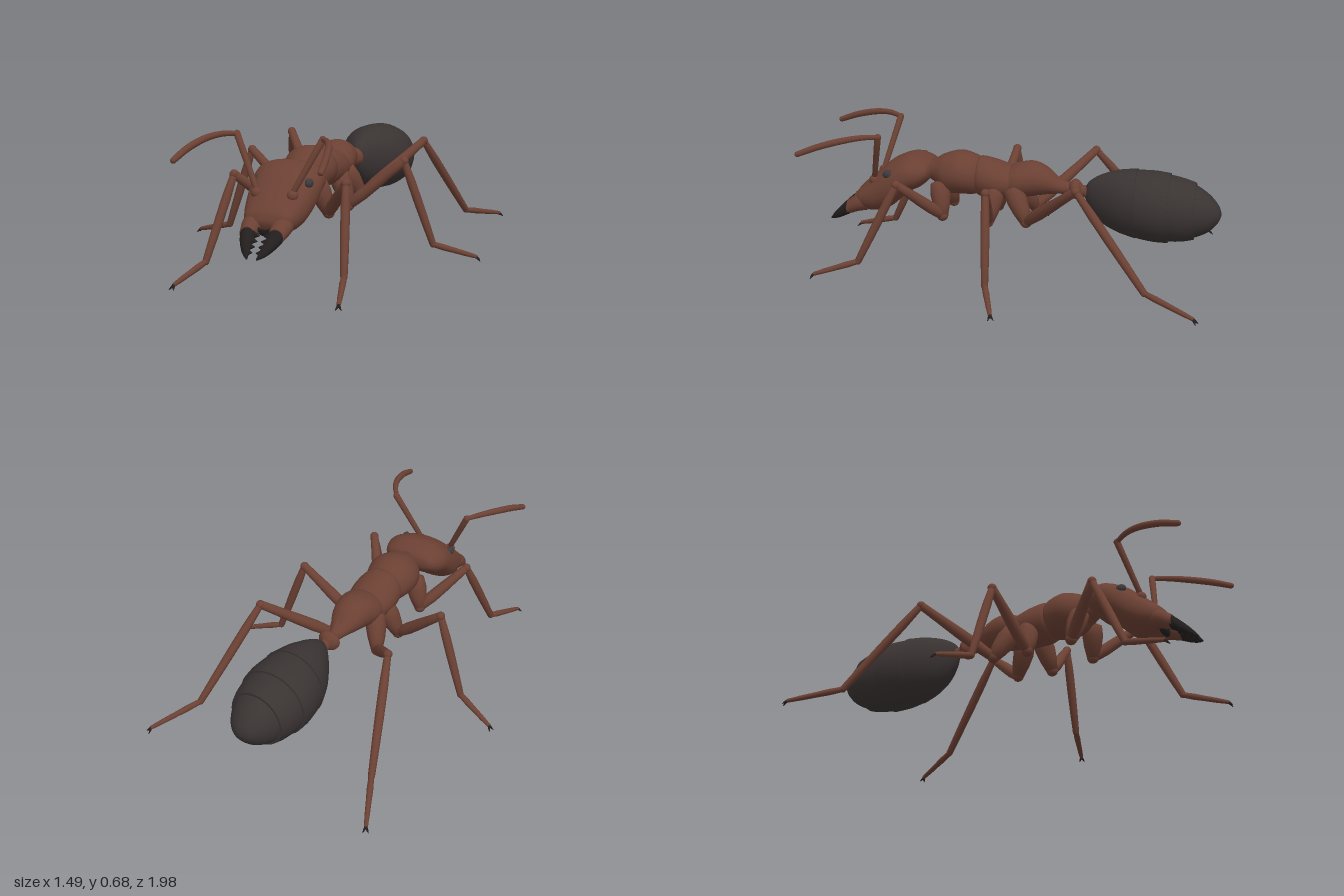
import * as THREE from 'three';
import { toCreasedNormals } from 'three/addons/utils/BufferGeometryUtils.js';

const mat = (name, color) => Object.assign(new THREE.MeshStandardMaterial({ color }), { name });
const V = (x, y, z) => new THREE.Vector3(x, y, z);

// Smooth loft along +z through sections [z, centreY, halfWidth, halfHeight, centreX]
function loft(sections, power = 2, sides = 32, steps = 5) {
  const curve = (pts) => new THREE.CatmullRomCurve3(pts, false, 'catmullrom', 0.5);
  const centres = curve(sections.map((s) => V(s[4] || 0, s[1], s[0])));
  const sizes = curve(sections.map((s) => V(s[2], s[3], 0)));
  const rings = (sections.length - 1) * steps;
  const pos = [], idx = [];
  const bend = (v) => Math.sign(v) * Math.abs(v) ** (2 / power);
  for (let i = 0; i <= rings; i++) {
    const c = centres.getPoint(i / rings), r = sizes.getPoint(i / rings);
    for (let j = 0; j < sides; j++) {
      const a = (j / sides) * Math.PI * 2;
      pos.push(c.x + bend(Math.cos(a)) * r.x, c.y + bend(Math.sin(a)) * r.y, c.z);
    }
  }
  for (let i = 0; i < rings; i++) {
    for (let j = 0; j < sides; j++) {
      const k = (j + 1) % sides;
      const a = i * sides + j, b = i * sides + k, c = a + sides, d = b + sides;
      idx.push(a, b, c, b, d, c);
    }
  }
  // end caps
  const first = centres.getPoint(0), last = centres.getPoint(1);
  const n = pos.length / 3;
  pos.push(first.x, first.y, first.z, last.x, last.y, last.z);
  for (let j = 0; j < sides; j++) {
    const k = (j + 1) % sides;
    idx.push(n, k, j, n + 1, rings * sides + j, rings * sides + k);
  }
  const g = new THREE.BufferGeometry();
  g.setAttribute('position', new THREE.Float32BufferAttribute(pos, 3));
  g.setIndex(idx);
  return toCreasedNormals(g, 0.9);
}

// Turned limb from a to b; radii are spread evenly along its length
function limb(a, b, radii) {
  const len = a.distanceTo(b);
  const profile = radii.map((r, i) => new THREE.Vector2(r, (i / (radii.length - 1)) * len));
  profile.unshift(new THREE.Vector2(0, -radii[0] * 0.4));
  profile.push(new THREE.Vector2(0, len + radii[radii.length - 1] * 0.4));
  const g = new THREE.LatheGeometry(profile, 14);
  const q = new THREE.Quaternion().setFromUnitVectors(V(0, 1, 0), b.clone().sub(a).normalize());
  return g.applyQuaternion(q).translate(a.x, a.y, a.z);
}

// Tube whose radius follows a rule along its length
function taperedTube(path, rule, steps = 24, sides = 12) {
  const g = new THREE.TubeGeometry(path, steps, 1, sides, false);
  const p = g.attributes.position, v = V(0, 0, 0);
  for (let i = 0; i < p.count; i++) {
    const t = Math.floor(i / (sides + 1)) / steps;
    const c = path.getPointAt(t);
    v.fromBufferAttribute(p, i).sub(c).multiplyScalar(rule(t)).add(c);
    p.setXYZ(i, v.x, v.y, v.z);
  }
  g.computeVertexNormals();
  return g;
}

const ball = (c, rx, ry = rx, rz = rx) =>
  new THREE.SphereGeometry(1, 20, 14).scale(rx, ry, rz).translate(c.x, c.y, c.z);

export function createModel() {
  const root = new THREE.Group();
  root.name = 'ant';
  const brown = mat('chestnut brown', 0x6b4033);
  const dark = mat('abdomen charcoal', 0x393332);
  const black = mat('jaw and claw black', 0x221e1e);
  const grey = mat('eye grey', 0x3c3a3c);
  const add = (name, geometry, material, parent = root) => {
    const m = new THREE.Mesh(geometry, material);
    m.name = name;
    parent.add(m);
    return m;
  };

  // Head and thorax
  add('head', loft([
    [0.398, 0.465, 0.06, 0.02], [0.415, 0.465, 0.125, 0.045], [0.46, 0.455, 0.155, 0.075],
    [0.52, 0.443, 0.166, 0.092], [0.6, 0.39, 0.158, 0.113], [0.67, 0.347, 0.144, 0.1],
    [0.73, 0.322, 0.125, 0.072], [0.77, 0.315, 0.1, 0.042], [0.785, 0.312, 0.05, 0.012],
  ], 2.3), brown);
  add('frontThorax', loft([
    [0.17, 0.445, 0.092, 0.083], [0.2, 0.447, 0.112, 0.097], [0.27, 0.455, 0.127, 0.105],
    [0.34, 0.448, 0.108, 0.095], [0.39, 0.457, 0.07, 0.06], [0.43, 0.46, 0.05, 0.04],
  ]), brown);
  add('middleThorax', loft([
    [0, 0.425, 0.09, 0.07], [0.03, 0.42, 0.107, 0.082], [0.1, 0.43, 0.117, 0.094],
    [0.165, 0.44, 0.108, 0.097], [0.185, 0.44, 0.095, 0.085],
  ]), brown);
  add('rearThorax', loft([
    [-0.25, 0.4, 0.028, 0.03], [-0.215, 0.41, 0.045, 0.038], [-0.155, 0.433, 0.076, 0.066],
    [-0.09, 0.44, 0.095, 0.085], [-0.02, 0.43, 0.106, 0.085], [0.03, 0.422, 0.096, 0.074],
  ]), brown);

  // Waist
  add('waist', loft([[-0.37, 0.385, 0.026, 0.028], [-0.3, 0.395, 0.026, 0.03], [-0.22, 0.405, 0.032, 0.032]]), brown);
  add('waistNode', loft([
    [-0.325, 0.395, 0.024, 0.03], [-0.305, 0.398, 0.05, 0.046], [-0.285, 0.4, 0.054, 0.046],
    [-0.262, 0.4, 0.024, 0.028],
  ]), brown);

  // Abdomen in overlapping rings, rear to front
  const rings = [
    [[-0.99, 0.312, 0.008, 0.008], [-0.975, 0.313, 0.05, 0.042], [-0.93, 0.315, 0.095, 0.09],
      [-0.86, 0.322, 0.13, 0.127], [-0.8, 0.325, 0.136, 0.132]],
    [[-0.867, 0.322, 0.137, 0.136], [-0.81, 0.325, 0.157, 0.15], [-0.745, 0.33, 0.168, 0.158], [-0.69, 0.333, 0.165, 0.155]],
    [[-0.745, 0.33, 0.175, 0.166], [-0.67, 0.336, 0.178, 0.169], [-0.585, 0.343, 0.163, 0.162], [-0.55, 0.346, 0.145, 0.15]],
    [[-0.588, 0.344, 0.169, 0.167], [-0.5, 0.352, 0.133, 0.15], [-0.42, 0.36, 0.084, 0.118],
      [-0.365, 0.375, 0.042, 0.07], [-0.34, 0.385, 0.012, 0.025]],
  ];
  rings.forEach((r, i) => add('abdomenRing' + (4 - i), loft(r), dark));

  add('mouth', ball(V(0, 0.275, 0.755), 0.06, 0.035, 0.018), black);

  // Leg joints for the left side: hip, trochanter, knee, ankle, toe
  const legs = {
    front: [V(0.07, 0.41, 0.36), V(0.118, 0.265, 0.335), V(0.272, 0.452, 0.52), V(0.333, 0.08, 0.7), V(0.388, 0.022, 0.905)],
    middle: [V(0.07, 0.4, 0.085), V(0.13, 0.25, 0.11), V(0.39, 0.475, 0.065), V(0.53, 0.08, 0.04), V(0.725, 0.022, -0.025)],
    hind: [V(0.07, 0.4, 0), V(0.125, 0.258, -0.075), V(0.355, 0.497, -0.345), V(0.485, 0.08, -0.68), V(0.605, 0.022, -0.91)],
  };

  for (const s of [1, -1]) {
    const side = s > 0 ? 'left' : 'right';
    const P = (x, y, z) => V(x * s, y, z);

    for (const [name, joints] of Object.entries(legs)) {
      const leg = new THREE.Group();
      leg.name = `${side}${name}Leg`;
      root.add(leg);
      const [hip, troch, knee, ankle, toe] = joints.map((p) => P(p.x, p.y, p.z));
      add('coxa', limb(hip, troch, [0.045, 0.05, 0.042, 0.028]), brown, leg);
      add('trochanter', ball(troch, 0.028), brown, leg);
      add('femur', limb(troch, knee, [0.023, 0.029, 0.027, 0.023, 0.02]), brown, leg);
      add('kneeJoint', ball(knee, 0.021), brown, leg);
      add('tibia', limb(knee, ankle, [0.016, 0.021, 0.021, 0.019, 0.016]), brown, leg);
      add('ankleJoint', ball(ankle, 0.016), brown, leg);
      add('foot', limb(ankle, toe, [0.013, 0.015, 0.013, 0.012, 0.009]), brown, leg);
      // pair of claws
      const ahead = toe.clone().sub(ankle).setY(0).normalize();
      const across = V(-ahead.z, 0, ahead.x);
      for (const k of [1, -1]) {
        const tip = toe.clone().addScaledVector(ahead, 0.018).addScaledVector(across, k * 0.013).setY(0.002);
        add('claw', limb(toe, tip, [0.006, 0.005, 0.001]), black, leg);
      }
    }

    // Elbowed antenna
    const elbow = P(0.205, 0.662, 0.622);
    add(side + 'AntennaSocket', ball(P(0.085, 0.415, 0.68), 0.026), brown);
    add(side + 'AntennaStalk', limb(P(0.085, 0.425, 0.68), elbow, [0.013, 0.014, 0.015, 0.016]), brown);
    add(side + 'AntennaElbow', ball(elbow, 0.016), brown);
    const whip = new THREE.CatmullRomCurve3([
      elbow, P(0.25, 0.668, 0.685), P(0.288, 0.66, 0.765), P(0.32, 0.632, 0.88), P(0.337, 0.597, 0.975),
    ]);
    add(side + 'AntennaWhip', taperedTube(whip, (t) => 0.011 + 0.005 * Math.sin(t * 2.6)), brown);
    add(side + 'AntennaTip', ball(P(0.337, 0.597, 0.975), 0.0135), brown);

    // Eye
    add(side + 'Eye', ball(P(0.13, 0.458, 0.6), 0.018, 0.022, 0.026), grey);

    // Toothed jaw: brown base, black tip
    add(side + 'JawBase', loft([
      [0.72, 0.305, 0.045, 0.05, 0.07 * s], [0.77, 0.29, 0.047, 0.045, 0.07 * s], [0.825, 0.262, 0.036, 0.036, 0.068 * s],
    ], 2, 20), brown);
    add(side + 'JawTip', loft([
      [0.815, 0.266, 0.038, 0.037, 0.068 * s], [0.86, 0.235, 0.029, 0.029, 0.057 * s],
      [0.9, 0.207, 0.018, 0.018, 0.041 * s], [0.928, 0.185, 0.004, 0.004, 0.024 * s],
    ], 2, 20), black);
    for (let i = 0; i < 5; i++) {
      const z = 0.79 + i * 0.027, y = 0.28 - i * 0.0185;
      add(side + 'JawTooth', limb(P(0.038 - i * 0.001, y, z), P(0.009, y, z + 0.004), [0.014, 0.009, 0.002]), black);
    }
  }
  return root;
}
